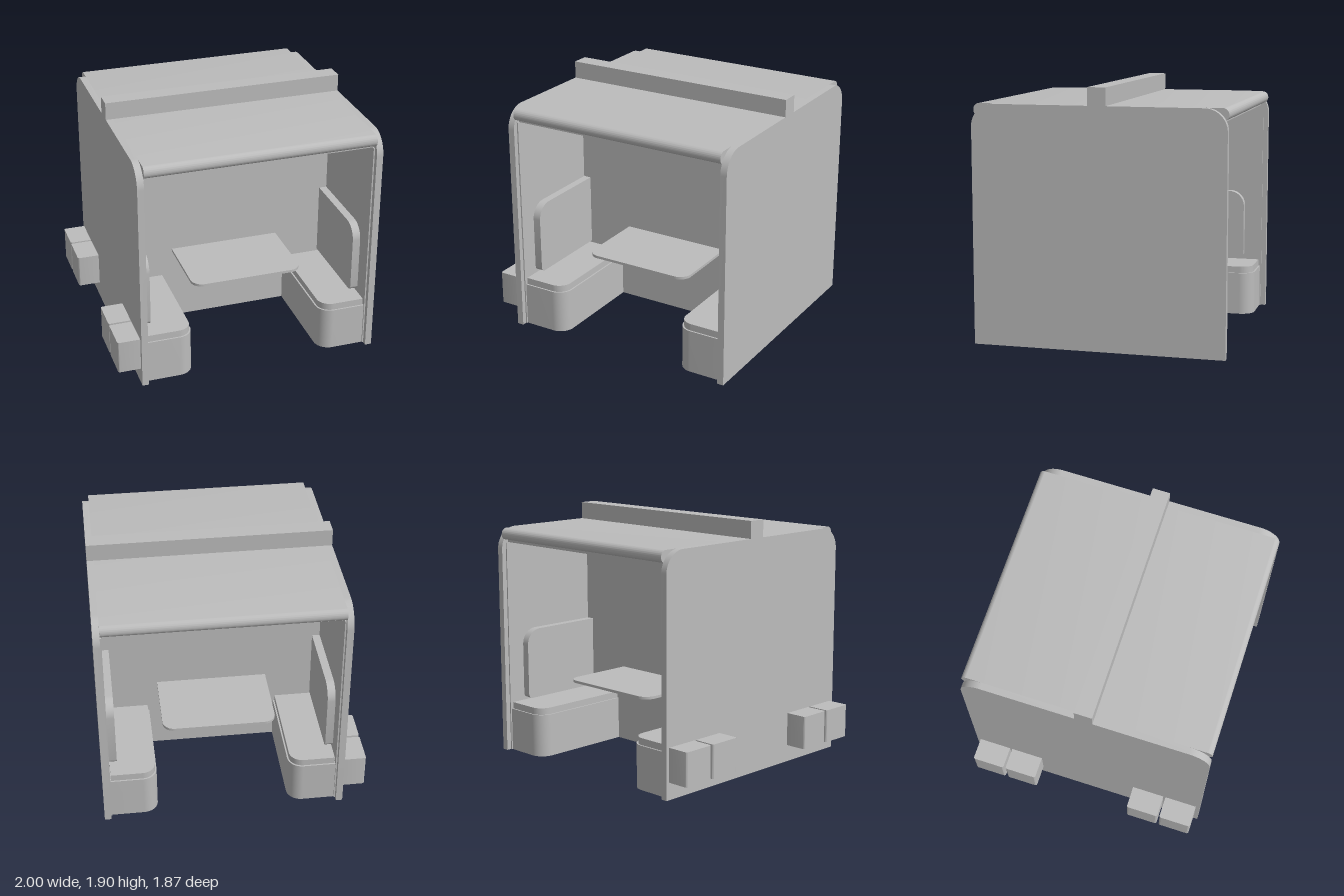
import * as THREE from 'three';
import { toCreasedNormals } from 'three/addons/utils/BufferGeometryUtils.js';

const grey = new THREE.MeshStandardMaterial({ color: 0xbcbcbc });
grey.name = 'grey';

// Rectangle with a radius per corner: low-low, high-low, high-high, low-high
function roundedRect(a0, b0, a1, b1, [r0, r1, r2, r3]) {
  const s = new THREE.Shape();
  const q = Math.PI / 2;
  const corner = (a, b, r, start) => {
    if (r > 0) s.absarc(a, b, r, start, start + q, false);
    else s.lineTo(a, b);
  };
  s.moveTo(a0, b0 + r0);
  corner(a0 + r0, b0 + r0, r0, 2 * q);
  corner(a1 - r1, b0 + r1, r1, 3 * q);
  corner(a1 - r2, b1 - r2, r2, 0);
  corner(a0 + r3, b1 - r3, r3, q);
  s.closePath();
  return s;
}

function mesh(name, geometry) {
  const m = new THREE.Mesh(geometry, grey);
  m.name = name;
  return m;
}

function extrude(shape, depth) {
  return new THREE.ExtrudeGeometry(shape, { depth, bevelEnabled: false, curveSegments: 10 });
}

// Slab with a (z, y) outline, spanning x0 to x1
function slabX(name, x0, x1, z0, y0, z1, y1, radii) {
  const g = extrude(roundedRect(z0, y0, z1, y1, radii), x1 - x0);
  g.rotateY(-Math.PI / 2).translate(x1, 0, 0);
  return mesh(name, toCreasedNormals(g, 0.6));
}

// Slab with an (x, z) outline, spanning y0 to y1
function slabY(name, y0, y1, x0, z0, x1, z1, radii) {
  const g = extrude(roundedRect(x0, z0, x1, z1, radii), y1 - y0);
  g.rotateX(Math.PI / 2).translate(0, y1, 0);
  return mesh(name, toCreasedNormals(g, 0.6));
}

function box(name, x0, x1, y0, y1, z0, z1) {
  const g = new THREE.BoxGeometry(x1 - x0, y1 - y0, z1 - z0);
  g.translate((x0 + x1) / 2, (y0 + y1) / 2, (z0 + z1) / 2);
  return mesh(name, g);
}

// One seating bay on the +z side of the partition
function createBay() {
  const bay = new THREE.Group();
  bay.name = 'seatingBay';
  bay.add(
    box('backPanel', -0.855, 0.855, 0.385, 1.66, 0.05, 0.07),
    box('ceilingPanel', -0.86, 0.86, 1.66, 1.69, 0.05, 0.88),
    slabY('tableTop', 0.588, 0.608, -0.43, 0.06, 0.43, 0.66, [0, 0, 0.09, 0.09]),
    box('tableBracket', -0.215, 0.215, 0.518, 0.588, 0.06, 0.345),
  );
  for (const s of [-1, 1]) {
    // order the two x limits and pick the rounded corner for each side
    const span = (a, b) => (s > 0 ? [a, b] : [-b, -a]);
    const round = (r) => (s > 0 ? [0, 0, 0, r] : [0, 0, r, 0]);
    const [l0, l1] = span(0.855, 0.87);
    const [p0, p1] = span(0.795, 0.855);
    const [b0, b1] = span(0.5, 0.857);
    const [c0, c1] = span(0.512, 0.85);
    bay.add(
      box('wallLining', l0, l1, 0, 1.66, 0.05, 0.9),
      slabX('sidePanel', p0, p1, 0.06, 0.4, 0.76, 0.955, [0, 0.04, 0.12, 0]),
      slabY('benchBase', 0, 0.333, b0, 0.06, b1, 0.89, round(0.11)),
      slabY('benchSeat', 0.333, 0.385, c0, 0.06, c1, 0.878, round(0.1)),
    );
  }
  return bay;
}

export function createModel() {
  const model = new THREE.Group();
  model.name = 'doubleBooth';

  const booth = new THREE.Group();
  booth.name = 'booth';
  booth.position.x = 0.085;
  model.add(booth);

  // Shell: side walls, roof, and the partition rising as a ridge
  booth.add(
    slabX('leftWall', 0.865, 0.915, -0.937, 0, 0.937, 1.772, [0, 0, 0.165, 0.165]),
    slabX('rightWall', -0.915, -0.865, -0.937, 0, 0.937, 1.772, [0, 0, 0.165, 0.165]),
    slabX('roof', -0.865, 0.865, -0.937, 1.682, 0.937, 1.772, [0.04, 0.04, 0.045, 0.045]),
    box('partition', -0.865, 0.865, 0, 1.772, -0.065, 0.065),
    box('roofRidge', -0.915, 0.915, 1.77, 1.903, -0.067, 0.067),
  );

  // Two identical bays, back to back
  const frontBay = createBay();
  const backBay = createBay();
  backBay.rotation.y = Math.PI;
  booth.add(frontBay, backBay);

  // Service boxes on the outside of the right wall
  for (const z of [-0.785, -0.515, 0.508, 0.778]) {
    model.add(slabY('serviceBox', 0.13, 0.385, -1, z - 0.126, -0.825, z + 0.126, [0.015, 0, 0, 0.015]));
  }
  return model;
}
